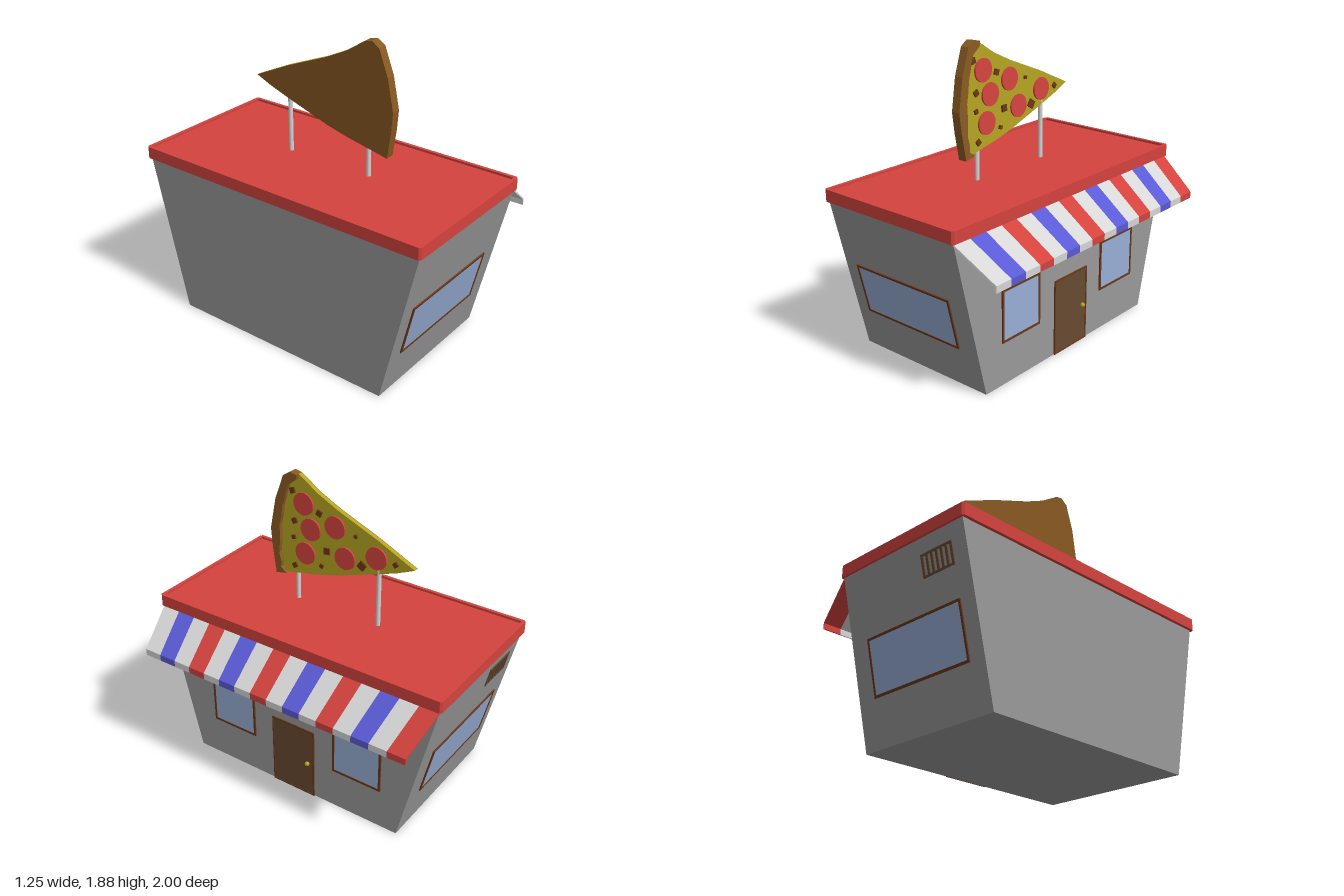
import * as THREE from 'three';

const mat = (name, color) => {
  const m = new THREE.MeshStandardMaterial({ color });
  m.name = name;
  return m;
};

export function createModel() {
  const red = mat('red', 0xd4433e), blue = mat('blue', 0x5a5ad6), white = mat('white', 0xd6d6d6);
  const grey = mat('wall grey', 0x999999), glass = mat('glass blue', 0x98aed6);
  const trim = mat('trim brown', 0x6b3818), wood = mat('door brown', 0x684a32);
  const cheese = mat('cheese yellow', 0xb5a422), crustBrown = mat('crust brown', 0x8a5a22);

  const model = new THREE.Group();
  const add = (parent, name, geo, material, x = 0, y = 0, z = 0) => {
    const m = new THREE.Mesh(geo, material);
    m.name = name;
    m.position.set(x, y, z);
    parent.add(m);
    return m;
  };
  const group = (parent, name, x = 0, y = 0, z = 0) => {
    const g = new THREE.Group();
    g.name = name;
    g.position.set(x, y, z);
    parent.add(g);
    return g;
  };
  const box = (w, h, d) => new THREE.BoxGeometry(w, h, d);
  const shapeOf = pts => new THREE.Shape(pts.map(p => new THREE.Vector2(p[0], p[1])));
  const extrude = (shape, depth) => new THREE.ExtrudeGeometry(shape, { depth, bevelEnabled: false });
  const rect = (w, h, c = 0) => [
    [-w + c, -h], [w - c, -h], [w, -h + c], [w, h - c], [w - c, h], [-w + c, h], [-w, h - c], [-w, -h + c]];

  // Walls: a box whose two ends lean outward
  const H = 0.99, Z0 = 0.75, Z1 = 0.985;
  const walls = box(0.98, H, Z0 * 2);
  const wp = walls.attributes.position;
  for (let i = 0; i < wp.count; i++) if (wp.getY(i) > 0) wp.setZ(i, Math.sign(wp.getZ(i)) * Z1);
  walls.computeVertexNormals();
  add(model, 'walls', walls, grey, -0.115, H / 2, 0);

  // Roof: raised rim around a sunken panel
  const roof = group(model, 'roof', -0.118, 0.987, 0);
  const rimShape = shapeOf(rect(0.507, 1, 0.012));
  rimShape.holes.push(new THREE.Path(rect(0.485, 0.978).map(p => new THREE.Vector2(p[0], p[1]))));
  add(roof, 'roofRim', extrude(rimShape, 0.075).rotateX(-Math.PI / 2), red);
  add(roof, 'roofPanel', box(0.98, 0.06, 1.966), red, 0, 0.031, 0);

  // Framed panel facing local +z, used for windows and the door
  const framed = (parent, name, w, h, material, x, y, z, t = 0.014) => {
    const g = group(parent, name, x, y, z);
    const s = shapeOf([[-w / 2, -h / 2], [w / 2, -h / 2], [w / 2, h / 2], [-w / 2, h / 2]]);
    const a = w / 2 - t, b = h / 2 - t;
    s.holes.push(new THREE.Path([[-a, -b], [-a, b], [a, b], [a, -b]].map(p => new THREE.Vector2(...p))));
    add(g, name + 'Frame', extrude(s, 0.008), trim);
    add(g, name + 'Panel', box(a * 2, b * 2, 0.006), material, 0, 0, 0.002);
    return g;
  };

  // Entrance side: door and two windows
  const entrance = group(model, 'entranceSide', 0.375, 0, 0);
  entrance.rotation.y = Math.PI / 2;
  framed(entrance, 'frontWindow', 0.328, 0.328, glass, -0.451, 0.431, 0);
  framed(entrance, 'rearWindow', 0.338, 0.328, glass, 0.465, 0.431, 0);
  framed(entrance, 'door', 0.31, 0.484, wood, 0.006, 0.242, 0, 0.009);
  add(entrance, 'doorKnob', new THREE.SphereGeometry(0.015, 12, 8), cheese, 0.115, 0.238, 0.014);

  // Leaning ends: a wide window each, plus a vent on the rear one
  const lean = Math.atan((Z1 - Z0) / H);
  for (const side of [1, -1]) {
    const end = group(model, side > 0 ? 'frontEnd' : 'rearEnd');
    if (side < 0) end.rotation.y = Math.PI;
    const wallZ = y => Z0 + (Z1 - Z0) * y / H;
    const win = framed(end, 'wideWindow', 0.742, 0.334, glass, -0.132 * side, 0.432, wallZ(0.432));
    win.rotation.x = lean;
    if (side > 0) continue;
    const vent = group(end, 'vent', 0.385, 0.835, wallZ(0.835));
    vent.rotation.x = lean;
    for (const y of [-0.06, 0.06]) add(vent, 'ventRail', box(0.24, 0.012, 0.012), wood, 0, y, 0);
    for (let i = 0; i < 7; i++) add(vent, 'ventSlat', box(0.017, 0.12, 0.012), wood, -0.111 + i * 0.037, 0, 0);
  }

  // Awning: sixteen stripes with a short hanging lip, narrowing outward
  const awning = group(model, 'awning');
  const section = shapeOf([
    [0.375, 0.985], [0.375, 0.973], [0.612, 0.8], [0.612, 0.765], [0.621, 0.765], [0.621, 0.807]]);
  for (let i = 0; i < 16; i++) {
    const geo = extrude(section, 1), p = geo.attributes.position;
    for (let k = 0; k < p.count; k++) {
      const half = 0.985 - 0.055 * (p.getX(k) - 0.375) / 0.246;
      p.setZ(k, half * (-1 + 2 * (i + p.getZ(k)) / 16));
    }
    geo.computeVertexNormals();
    add(awning, 'awningStripe', geo, i % 2 ? white : (i / 2) % 2 ? blue : red);
  }

  // Sign posts
  for (const [z, top] of [[0.29, 1.26], [-0.29, 1.42]]) {
    const h = top - 1.03;
    add(model, 'signPost', new THREE.CylinderGeometry(0.014, 0.014, h, 12), white, -0.098, 1.03 + h / 2, z);
  }

  // Pizza slice sign, outlines given as [z, y]
  const sign = group(model, 'pizzaSign', -0.112, 1.2, 0);
  sign.rotation.z = 0.028;
  const slab = (pts, depth) =>
    extrude(shapeOf(pts.map(([z, y]) => [-z, y - 1.2])), depth).rotateY(Math.PI / 2);
  const topEdge = [[-0.528, 1.489], [-0.287, 1.6], [0, 1.715], [0.142, 1.783], [0.276, 1.87]];
  const bottomEdge = [[0.351, 1.216], [0.142, 1.259], [0, 1.296], [-0.126, 1.339], [-0.287, 1.393], [-0.42, 1.441]];
  const crustOuter = [[0.324, 1.88], [0.372, 1.848], [0.43, 1.687], [0.466, 1.489], [0.453, 1.366], [0.426, 1.2]];
  const crustInner = [[0.281, 1.838], [0.335, 1.8], [0.351, 1.757], [0.362, 1.71], [0.378, 1.66], [0.385, 1.6],
    [0.4, 1.53], [0.398, 1.42], [0.405, 1.34], [0.389, 1.285], [0.394, 1.247]];
  add(sign, 'sliceBack', slab([...topEdge, ...crustOuter, ...bottomEdge], 0.004), crustBrown);
  add(sign, 'cheese', slab([...topEdge, ...crustInner, ...bottomEdge], 0.029), cheese, 0.003);
  add(sign, 'crust', slab([topEdge[4], ...crustOuter, bottomEdge[0], ...[...crustInner].reverse()], 0.055),
    crustBrown, 0.002);

  // Toppings
  const disc = new THREE.CylinderGeometry(0.07, 0.07, 0.014, 24).rotateZ(Math.PI / 2);
  for (const [z, y] of [[0.238, 1.694], [0.013, 1.605], [0.185, 1.544], [-0.062, 1.428], [-0.276, 1.492], [0.222, 1.38]])
    add(sign, 'pepperoni', disc, red, 0.036, y - 1.2, z);
  const bits = [[0.319, 1.76, 0.034], [0.126, 1.664, 0.036], [0.303, 1.572, 0.034], [-0.131, 1.588, 0.02],
    [-0.405, 1.489, 0.03], [0.067, 1.438, 0.04], [-0.18, 1.416, 0.048], [0.308, 1.464, 0.026],
    [0.104, 1.329, 0.024], [0.298, 1.28, 0.032]];
  bits.forEach(([z, y, s], i) => {
    add(sign, 'toppingBit', box(0.014, s, s), trim, 0.036, y - 1.2, z).rotation.x = 0.3 + i * 0.9;
  });

  return model;
}
